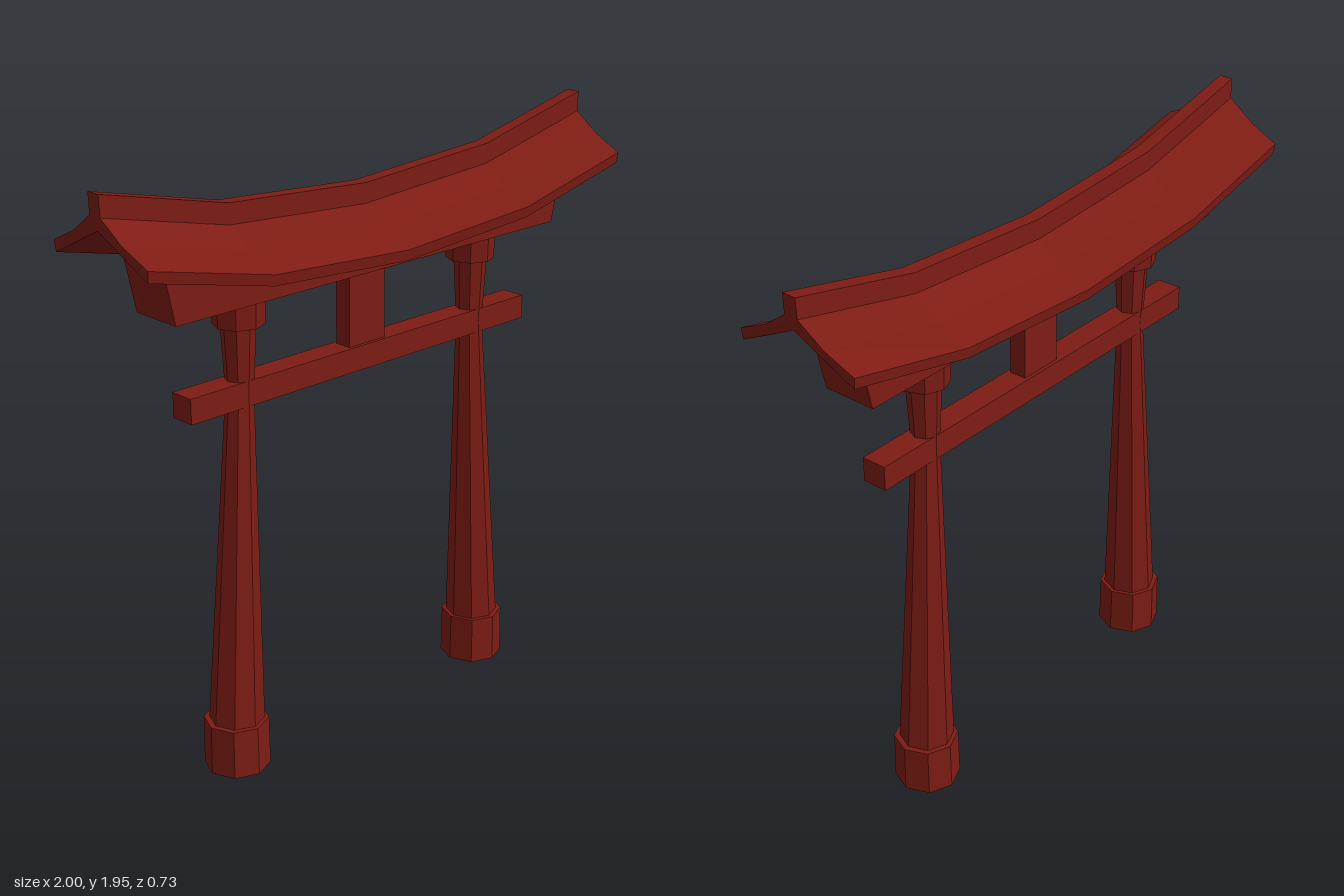
import * as THREE from 'three';

const red = new THREE.MeshStandardMaterial({ color: 0x7d1c14, flatShading: true });

// Upward sweep of the roof: flat-ish middle, steeper tips
function rise(x) {
  const a = Math.abs(x);
  return a < 0.54 ? 0.035 * a / 0.54 : 0.035 + 0.105 * (a - 0.54) / 0.45;
}

// Sweeps a mirrored cross-section along x.
// Each point of the front half is [z, y, share of the rise it follows, half length]
function sweep(half, bend) {
  const mirrored = half.filter(p => p[0] !== 0).reverse().map(([z, ...rest]) => [-z, ...rest]);
  const section = [...half, ...mirrored];
  const n = section.length;
  const stations = [-1, -bend, 0, bend, 1];
  const pos = [];
  const idx = [];
  for (const t of stations) {
    for (const [z, y, follow, len] of section) pos.push(t * len, y + follow * rise(t * len), z);
  }
  for (let s = 0; s < stations.length - 1; s++) {
    for (let i = 0; i < n; i++) {
      const a = s * n + i, b = s * n + (i + 1) % n;
      idx.push(a, b, b + n, a, b + n, a + n);
    }
  }
  // End caps
  const outline = section.map(p => new THREE.Vector2(p[0], p[1]));
  const last = (stations.length - 1) * n;
  for (const f of THREE.ShapeUtils.triangulateShape(outline, [])) {
    const [i, j, k] = THREE.ShapeUtils.area(f.map(v => outline[v])) > 0 ? f : [f[0], f[2], f[1]];
    idx.push(i, j, k, last + i, last + k, last + j);
  }
  const indexed = new THREE.BufferGeometry();
  indexed.setAttribute('position', new THREE.Float32BufferAttribute(pos, 3));
  indexed.setIndex(idx);
  const geo = indexed.toNonIndexed();
  geo.computeVertexNormals();
  return geo;
}

export function createModel() {
  const model = new THREE.Group();
  model.name = 'gate';

  const add = (name, geo, x = 0, y = 0, z = 0) => {
    const mesh = new THREE.Mesh(geo, red);
    mesh.name = name;
    mesh.position.set(x, y, z);
    model.add(mesh);
    return mesh;
  };

  // Curved roof with a raised ridge and flared eaves
  add('roof', sweep([
    [0.024, 1.81, 1, 0.99],
    [0.024, 1.745, 1, 0.988],
    [0.11, 1.685, 1, 0.985],
    [0.213, 1.638, 1, 0.979],
    [0.208, 1.603, 1, 0.977],
    [0.11, 1.65, 1, 0.98],
    [0, 1.705, 1, 0.982],
  ], 0.546));

  // Lintel under the roof, flat below and following the curve above
  add('lintel', sweep([
    [0.035, 1.715, 1, 0.85],
    [0.089, 1.672, 1, 0.847],
    [0.089, 1.55, 0, 0.797],
  ], 0.64));

  // Tie beam and centre strut
  add('tieBeam', new THREE.BoxGeometry(1.436, 0.08, 0.084), 0, 1.26, 0);
  add('centreStrut', new THREE.BoxGeometry(0.152, 0.27, 0.06), 0, 1.425, 0);

  // Leaning octagonal pillars with a footing and a cap
  for (const [side, s] of [['left', 1], ['right', -1]]) {
    add(side + 'Footing', new THREE.CylinderGeometry(0.104, 0.106, 0.165, 8), s * 0.547, 0.0825, 0);
    add(side + 'Cap', new THREE.CylinderGeometry(0.081, 0.079, 0.085, 8), s * 0.497, 1.5125, 0);
    const shaft = new THREE.LatheGeometry([
      new THREE.Vector2(0.091, 0.1),
      new THREE.Vector2(0.043, 1.26),
      new THREE.Vector2(0.056, 1.5),
    ], 8);
    const p = shaft.attributes.position;
    for (let i = 0; i < p.count; i++) {
      const t = Math.min(1, (p.getY(i) - 0.1) / 1.16);
      p.setX(i, p.getX(i) + s * (0.547 - 0.048 * t));
    }
    shaft.computeVertexNormals();
    add(side + 'Pillar', shaft);
  }

  // The whole gate stands slightly turned
  model.rotation.y = THREE.MathUtils.degToRad(9.1);
  const root = new THREE.Group();
  root.name = 'turnedGate';
  root.add(model);
  return root;
}
